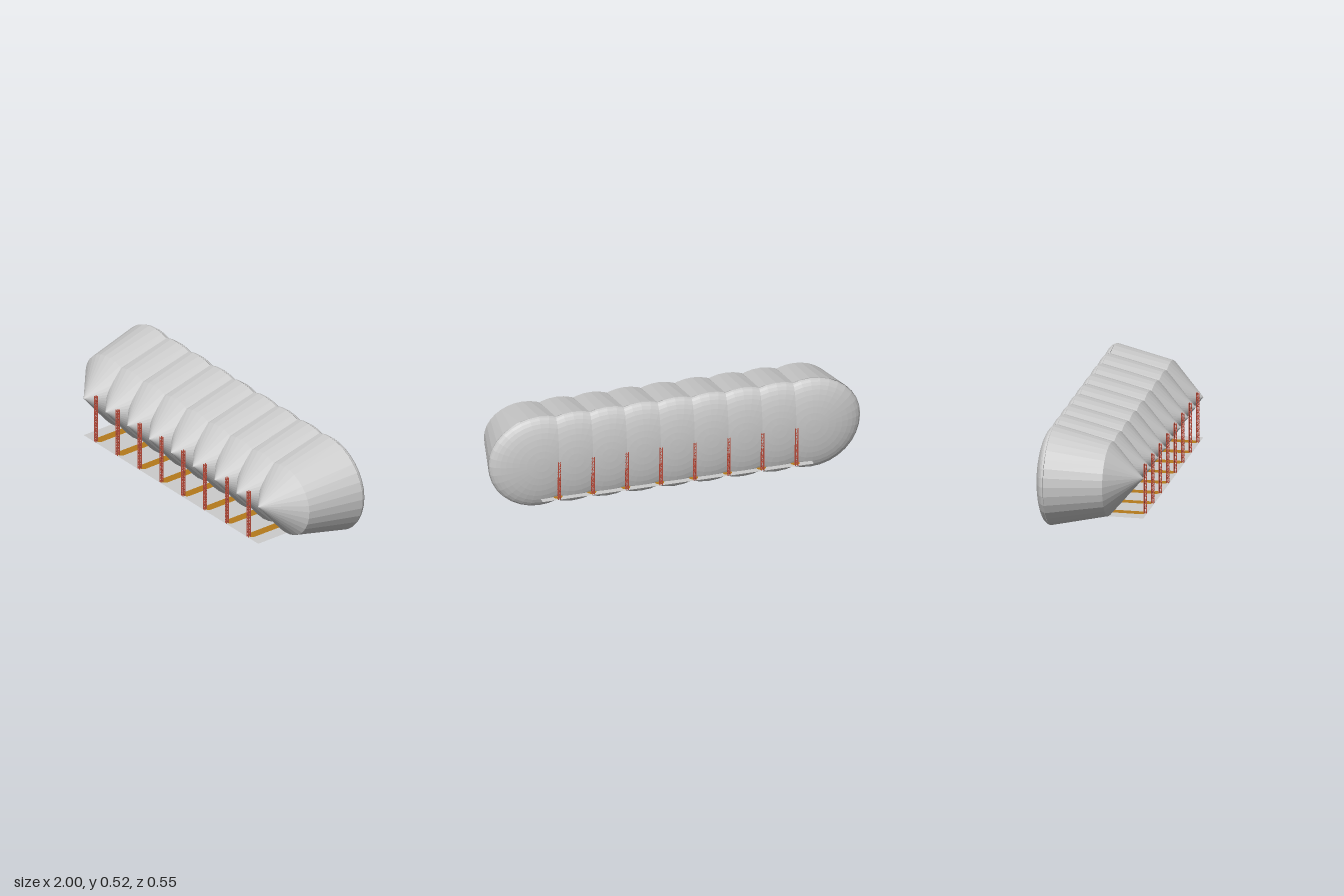
import * as THREE from 'three';
import { mergeGeometries } from 'three/addons/utils/BufferGeometryUtils.js';

const PITCH = 0.182, AXIS_Y = 0.271, DECK_Y = 0.055;

const mat = (color) => new THREE.MeshStandardMaterial({ color, flatShading: true, side: THREE.DoubleSide });

// Revolves [radius, z] points about the z axis, with a slightly flattened upper half
function shell(points) {
  const geo = new THREE.LatheGeometry(points.map(([r, z]) => new THREE.Vector2(r, z)), 32);
  geo.rotateX(Math.PI / 2);
  const p = geo.attributes.position;
  for (let i = 0; i < p.count; i++) {
    const squash = THREE.MathUtils.mapLinear(Math.min(p.getZ(i), 0.1), -0.2, 0.1, 0.92, 0.868);
    if (p.getY(i) > 0) p.setY(i, p.getY(i) * Math.min(squash, 0.92));
  }
  geo.translate(0, AXIS_Y, 0);
  geo.computeVertexNormals();
  return geo;
}

// Square bar between two points
function bar(a, b, t) {
  const d = b.clone().sub(a);
  const geo = new THREE.BoxGeometry(t, d.length(), t);
  geo.applyQuaternion(new THREE.Quaternion().setFromUnitVectors(new THREE.Vector3(0, 1, 0), d.normalize()));
  const m = a.clone().add(b).multiplyScalar(0.5);
  return geo.translate(m.x, m.y, m.z);
}

// Four-legged lattice mast with zigzag bracing
function mast(height) {
  const h = 0.0062, panels = Math.round(height / 0.0165), step = height / panels;
  const corners = [[-h, -h], [h, -h], [h, h], [-h, h]];
  const at = (k, y) => new THREE.Vector3(corners[k % 4][0], y, corners[k % 4][1]);
  const parts = [];
  for (let k = 0; k < 4; k++) {
    parts.push(bar(at(k, 0), at(k, height), 0.0034));
    for (let i = 0; i < panels; i++) {
      const flip = i % 2;
      parts.push(bar(at(k + flip, i * step), at(k + 1 - flip, (i + 1) * step), 0.0024));
    }
  }
  return mergeGeometries(parts);
}

// Flat strip with rounded ends, running along z
function stripGeometry(width, z0, z1) {
  const r = width / 2, s = new THREE.Shape();
  s.absarc(0, -z0 - r, r, 0, Math.PI, false);
  s.absarc(0, -z1 + r, r, Math.PI, Math.PI * 2, false);
  return new THREE.ShapeGeometry(s, 12).rotateX(-Math.PI / 2);
}

export function createModel() {
  const model = new THREE.Group();
  const grey = mat(0xcccccc), red = mat(0xc0503f), amber = mat(0xb57a1c);
  const add = (name, geo, material, x = 0, y = 0, z = 0) => {
    const mesh = new THREE.Mesh(geo, material);
    mesh.name = name;
    mesh.position.set(x, y, z);
    model.add(mesh);
  };

  // Nine overlapping hulls: tapered barrel with pointed nose, and a shallow rear dome
  const hull = shell([[0.271, -0.1975], [0.206, 0.1], [0, 0.274]]);
  const profile = [];
  for (let i = 10; i >= 0; i--) {
    const a = (i / 10) * Math.PI / 2;
    profile.push([i === 10 ? 0 : 0.269 * Math.cos(a), -0.2 - 0.069 * Math.sin(a)]);
  }
  const dome = shell(profile);
  for (let i = -4; i <= 4; i++) {
    add('hull', hull, grey, i * PITCH);
    add('rearDome', dome, grey, i * PITCH);
  }

  // Thin deck through the hulls
  add('deck', new THREE.PlaneGeometry(8 * PITCH, 0.546).rotateX(-Math.PI / 2), grey, 0, DECK_Y);

  // Masts and walkway strips at each seam between hulls
  const frontMast = mast(0.267), rearMast = mast(0.22);
  const strip = stripGeometry(0.048, -0.264, 0.264);
  for (let i = -3.5; i <= 3.5; i++) {
    add('frontMast', frontMast, red, i * PITCH, DECK_Y, 0.264);
    add('rearMast', rearMast, red, i * PITCH, DECK_Y, -0.265);
    add('walkway', strip, amber, i * PITCH, DECK_Y + 0.0015);
  }
  return model;
}
